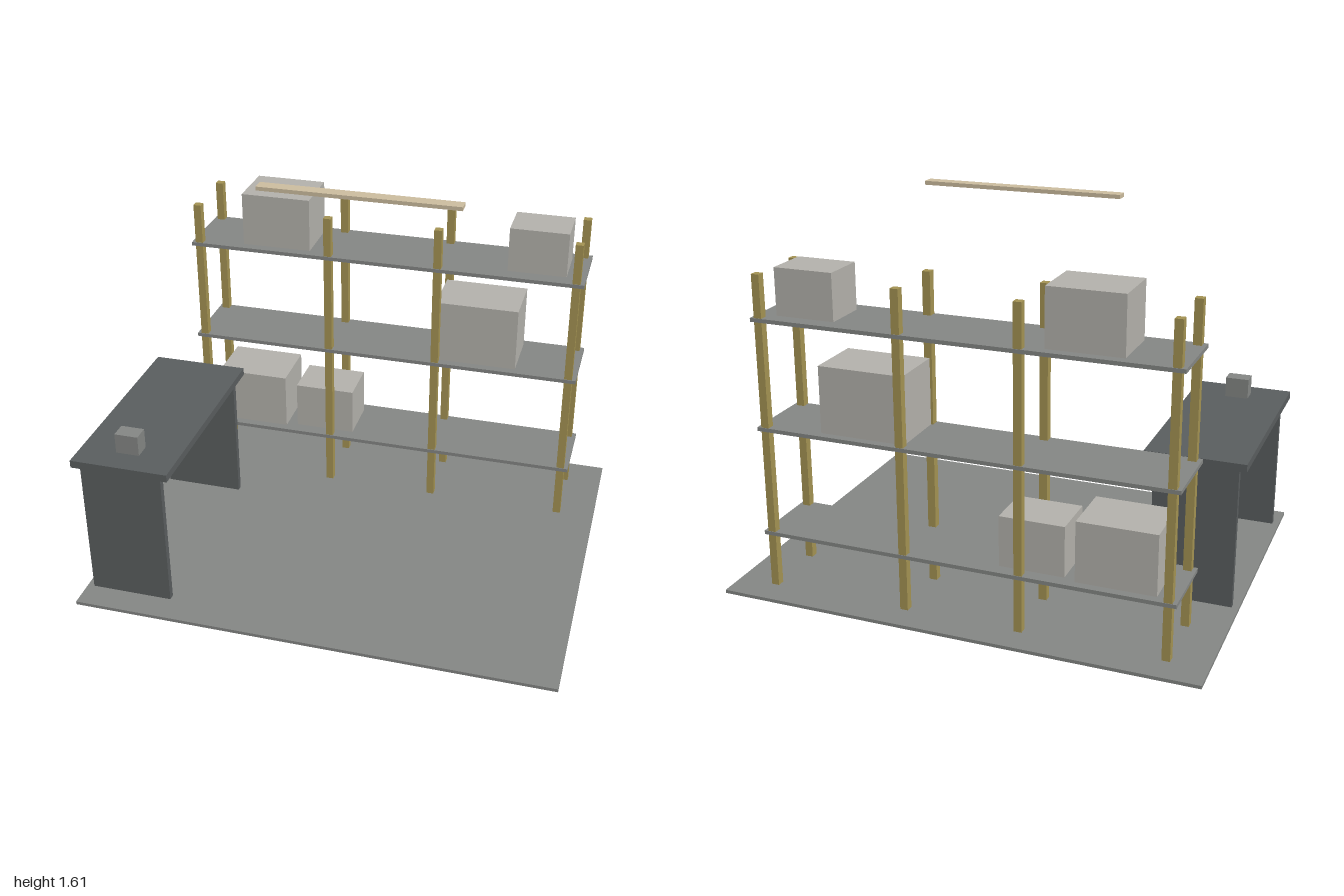
import * as THREE from 'three';

const mat = (name, color) => {
  const m = new THREE.MeshStandardMaterial({ color });
  m.name = name;
  return m;
};

export function createModel() {
  const root = new THREE.Group();
  root.name = 'storageRoom';

  const grey = mat('concrete grey', 0x858785);
  const slate = mat('dark slate', 0x5a5e5f);
  const brass = mat('ochre wood', 0xa49353);
  const carton = mat('pale carton', 0xb4b2ac);
  const cream = mat('cream lamp', 0xcdbd9f);

  const group = (name) => {
    const g = new THREE.Group();
    g.name = name;
    root.add(g);
    return g;
  };
  // Box given by its limits along each axis
  const box = (parent, name, material, [x0, x1], [y0, y1], [z0, z1]) => {
    const mesh = new THREE.Mesh(new THREE.BoxGeometry(x1 - x0, y1 - y0, z1 - z0), material);
    mesh.position.set((x0 + x1) / 2, (y0 + y1) / 2, (z0 + z1) / 2);
    mesh.name = name;
    parent.add(mesh);
  };

  box(root, 'floor', grey, [-0.995, 0.995], [0.001, 0.015], [-0.79, 0.79]);

  // Desk: top on two panel legs that reach through the floor
  const desk = group('desk');
  box(desk, 'deskTop', slate, [-1, -0.59], [0.61, 0.642], [-0.207, 0.69]);
  for (const z of [-0.173, 0.661]) {
    box(desk, 'deskLeg', slate, [-0.967, -0.625], [0, 0.61], [z - 0.0135, z + 0.0135]);
  }
  box(desk, 'deskBlock', grey, [-0.845, -0.747], [0.645, 0.73], [0.522, 0.59]);

  // Shelving rack
  const rack = group('shelvingRack');
  const h = 0.0165;
  for (const x of [-0.83, -0.242, 0.242, 0.83]) {
    for (const z of [-0.382, -0.658]) {
      box(rack, 'post', brass, [x - h, x + h], [0.014, 1.332], [z - h, z + h]);
    }
  }
  for (const y of [0.247, 0.698, 1.149]) {
    box(rack, 'shelf', grey, [-0.863, 0.863], [y - 0.008, y + 0.008], [-0.677, -0.362]);
  }

  // Cartons: x range, y range, z range
  const cartons = group('cartons');
  [
    [[-0.635, -0.332], [1.157, 1.39], [-0.636, -0.404]],
    [[0.533, 0.782], [1.157, 1.35], [-0.614, -0.426]],
    [[0.235, 0.595], [0.706, 0.983], [-0.642, -0.398]],
    [[-0.78, -0.46], [0.255, 0.505], [-0.642, -0.398]],
    [[-0.412, -0.145], [0.255, 0.465], [-0.622, -0.418]],
  ].forEach((r) => box(cartons, 'carton', carton, ...r));

  box(root, 'ceilingLamp', cream, [-0.414, 0.414], [1.59, 1.606], [-0.027, 0.027]);

  return root;
}
